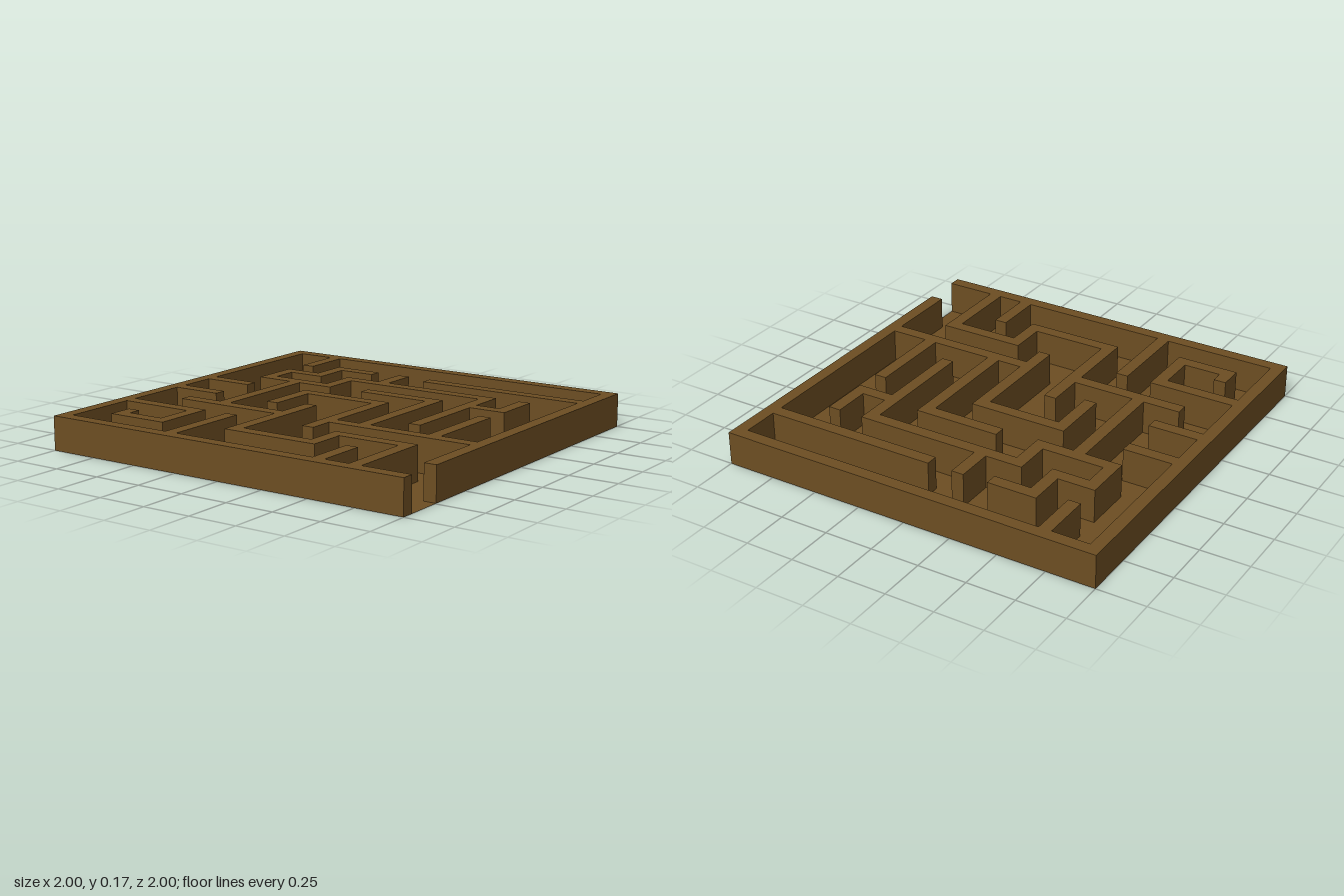
import * as THREE from 'three';

const N = 31;            // maze is laid out on a 31 x 31 grid, walls one unit thick
const U = 2 / N;
const HEIGHT = 0.172;

// wall runs parallel to x: [z, first x, last x]
const ROWS = [
  [0, 0, 30], [30, 0, 30],
  [4, 16, 30], [4, 7, 10], [7, 4, 7], [10, 4, 10], [7, 10, 23], [10, 23, 26],
  [10, 14, 20], [13, 10, 17], [13, 0, 4], [17, 0, 4],
  [20, 4, 13], [20, 17, 30], [23, 0, 7], [23, 20, 26], [26, 13, 20], [27, 3, 7],
];
// wall runs parallel to z: [x, first z, last z]; the right side stops short for the exit
const COLUMNS = [
  [0, 0, 30], [30, 0, 26],
  [4, 0, 4], [7, 4, 7], [4, 7, 10], [10, 7, 10], [13, 4, 7], [23, 7, 17],
  [26, 7, 10], [7, 10, 20], [20, 10, 20], [26, 13, 20], [17, 13, 22], [10, 13, 17],
  [13, 17, 26], [20, 23, 26], [26, 23, 30], [23, 26, 30],
  [7, 23, 27], [3, 26, 27], [10, 23, 30],
];

// collects four-cornered faces into one flat-shaded geometry
class FaceBuilder {
  points = [];
  quad(a, b, c, d) { this.points.push(...a, ...b, ...c, ...a, ...c, ...d); }
  flat(x0, z0, x1, z1, y) {
    this.quad([x0, y, z0], [x0, y, z1], [x1, y, z1], [x1, y, z0]);
  }
  upright(px, pz, qx, qz) {
    this.quad([px, 0, pz], [qx, 0, qz], [qx, HEIGHT, qz], [px, HEIGHT, pz]);
  }
  mesh(name, material) {
    const geometry = new THREE.BufferGeometry();
    geometry.setAttribute('position', new THREE.Float32BufferAttribute(this.points, 3));
    geometry.computeVertexNormals();
    const mesh = new THREE.Mesh(geometry, material);
    mesh.name = name;
    return mesh;
  }
}

export function createModel() {
  const wood = new THREE.MeshStandardMaterial({ color: 0x6d4e22, side: THREE.DoubleSide });
  wood.name = 'brown wood';

  // mark the cells covered by walls
  const cells = new Set();
  const key = (x, z) => x + ',' + z;
  for (const [z, a, b] of ROWS) for (let x = a; x <= b; x++) cells.add(key(x, z));
  for (const [x, a, b] of COLUMNS) for (let z = a; z <= b; z++) cells.add(key(x, z));
  const isWall = (x, z) => cells.has(key(x, z));

  const tops = new FaceBuilder(), sides = new FaceBuilder(), floor = new FaceBuilder();
  for (let i = 0; i < N; i++) {
    for (let j = 0; j < N; j++) {
      const x0 = i * U - 1, x1 = x0 + U, z0 = j * U - 1, z1 = z0 + U;
      // thin floor along the paths; walls are hollow and open underneath
      if (!isWall(i, j)) {
        floor.flat(x0, z0, x1, z1, 0);
        continue;
      }
      tops.flat(x0, z0, x1, z1, HEIGHT);
      // upright faces only where a wall borders a path or the outside
      if (!isWall(i, j + 1)) sides.upright(x0, z1, x1, z1);
      if (!isWall(i, j - 1)) sides.upright(x1, z0, x0, z0);
      if (!isWall(i + 1, j)) sides.upright(x1, z1, x1, z0);
      if (!isWall(i - 1, j)) sides.upright(x0, z0, x0, z1);
    }
  }

  const maze = new THREE.Group();
  maze.name = 'maze';
  maze.add(tops.mesh('wallTops', wood), sides.mesh('wallSides', wood), floor.mesh('pathFloor', wood));
  return maze;
}
